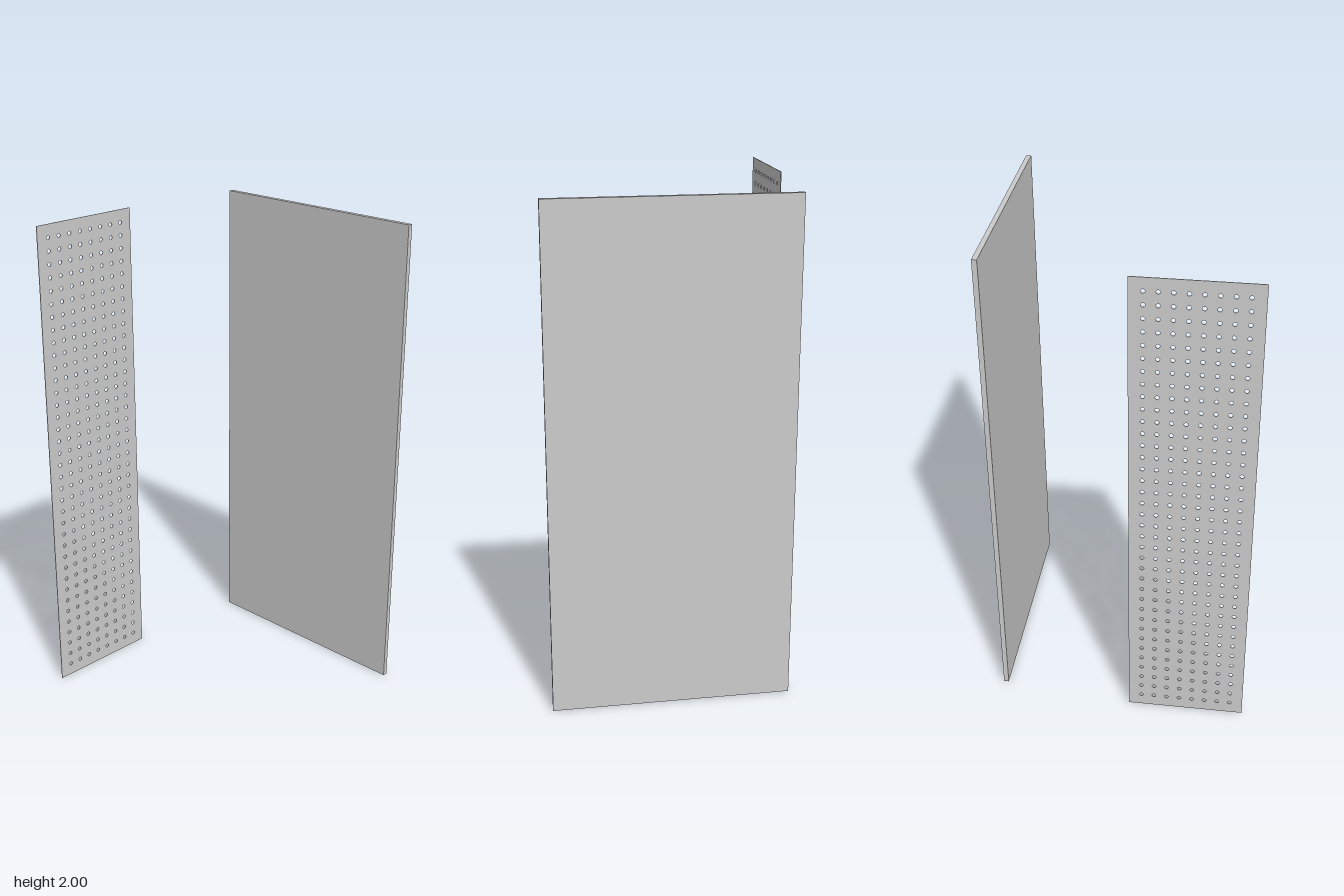
import * as THREE from 'three';

const PITCH = 2 / 38; // hole spacing, also the margin around the hole grid
const COLS = 8, ROWS = 37;
const HOLE_R = 0.008;
const SHEET_T = 0.003, PANEL_T = 0.02;
const HALF_X = 0.5, HALF_Z = 0.511;

const material = new THREE.MeshStandardMaterial({ color: 0xcccccc });

// Upright sheet with a regular grid of round holes, facing sideways
function perforatedSheet() {
  const w = PITCH * (COLS + 1), h = PITCH * (ROWS + 1);
  const shape = new THREE.Shape();
  shape.moveTo(-w / 2, 0).lineTo(w / 2, 0).lineTo(w / 2, h).lineTo(-w / 2, h).closePath();
  for (let c = 1; c <= COLS; c++) {
    for (let r = 1; r <= ROWS; r++) {
      const hole = new THREE.Path();
      hole.absarc(c * PITCH - w / 2, r * PITCH, HOLE_R, 0, Math.PI * 2, true);
      shape.holes.push(hole);
    }
  }
  const geometry = new THREE.ExtrudeGeometry(shape, {
    depth: SHEET_T, bevelEnabled: false, curveSegments: 6,
  });
  geometry.rotateY(Math.PI / 2);
  const mesh = new THREE.Mesh(geometry, material);
  mesh.name = 'perforatedSidePanel';
  mesh.position.set(-HALF_X, 0, HALF_Z - w / 2);
  return mesh;
}

// Solid board standing behind
function backPanel() {
  const w = PITCH * 18;
  const mesh = new THREE.Mesh(new THREE.BoxGeometry(w, 2, PANEL_T), material);
  mesh.name = 'backPanel';
  mesh.position.set(HALF_X - w / 2, 1, -HALF_Z + PANEL_T / 2);
  return mesh;
}

export function createModel() {
  const group = new THREE.Group();
  group.name = 'panelSet';
  group.add(perforatedSheet(), backPanel());
  return group;
}
